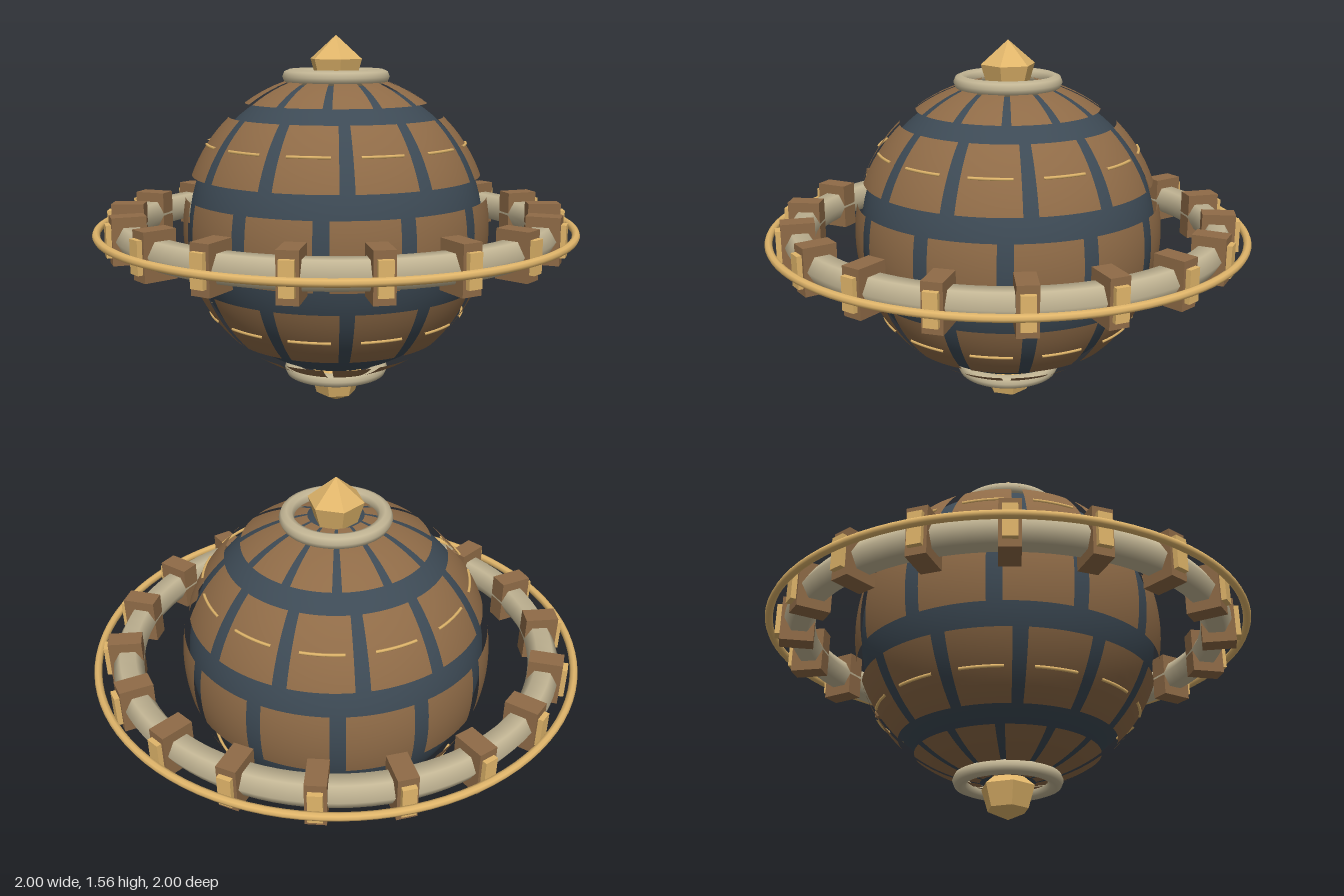
import * as THREE from 'three';

const CENTER_Y = 0.785;
const rad = THREE.MathUtils.degToRad;
const material = (color, options = {}) => new THREE.MeshStandardMaterial({ color, ...options });

export function createModel() {
  const model = new THREE.Group();
  model.name = 'ringedSphere';

  const slate = material(0x3d4a55);
  const wood = material(0x8f6b47);
  const stone = material(0xc2b594);
  const gold = material(0xe0b56a);
  const crystalGold = material(0xe0b56a, { flatShading: true });

  const add = (name, geometry, mat, parent = model) => {
    const mesh = new THREE.Mesh(geometry, mat);
    mesh.name = name;
    parent.add(mesh);
    return mesh;
  };

  // Dark core
  add('core', new THREE.SphereGeometry(0.61, 64, 40), slate).position.y = CENTER_Y;

  // Curved hull panels: five rows of twelve, alternate rows shifted
  const panels = new THREE.Group();
  panels.name = 'hullPanels';
  panels.position.y = CENTER_Y;
  model.add(panels);
  const width = rad(24.4);
  const rows = [
    { low: -12.2, high: 12.2, shift: 0 },
    { low: 20.7, high: 46.2, shift: 9, trim: true },
    { low: -46.2, high: -20.7, shift: 9, trim: true },
    { low: 54, high: 80, shift: 0 },
    { low: -80, high: -54, shift: 0 },
  ];
  for (const { low, high, shift, trim } of rows) {
    const panel = new THREE.SphereGeometry(0.636, 8, 8,
      Math.PI / 2 - width / 2, width, rad(90 - high), rad(high - low));

    // Thin gold line across the middle of the panel
    const latitude = rad((low + high) / 2);
    const arc = rad(18);
    const line = new THREE.TorusGeometry(0.638 * Math.cos(latitude), 0.006, 6, 8, arc);
    line.rotateZ(Math.PI / 2 - arc / 2).rotateX(Math.PI / 2);
    line.translate(0, 0.638 * Math.sin(latitude), 0);

    for (let i = 0; i < 12; i++) {
      const angle = rad(shift + i * 30);
      add('hullPanel', panel, wood, panels).rotation.y = angle;
      if (trim) add('panelTrim', line, gold, panels).rotation.y = angle;
    }
  }

  // Horizontal rings: main ring, outer hoop and the two pole collars
  const addRing = (name, radius, tube, y, sides, mat) => {
    const ring = add(name, new THREE.TorusGeometry(radius, tube, sides, 96), mat);
    ring.rotation.x = Math.PI / 2;
    ring.position.y = y;
  };
  addRing('mainRing', 0.86, 0.0625, CENTER_Y, 6, stone);
  addRing('outerHoop', 0.984, 0.016, CENTER_Y, 8, gold);
  addRing('topCollar', 0.19, 0.03, CENTER_Y + 0.62, 8, stone);
  addRing('bottomCollar', 0.19, 0.03, CENTER_Y - 0.62, 8, stone);

  // Brackets around the main ring, each with a gold clip on its outer face
  const block = new THREE.BoxGeometry(0.08, 0.19, 0.135);
  const clip = new THREE.BoxGeometry(0.055, 0.13, 0.04);
  for (let i = 0; i < 18; i++) {
    const bracket = new THREE.Group();
    bracket.name = 'ringBracket';
    bracket.position.y = CENTER_Y;
    bracket.rotation.y = rad(10 + i * 20);
    model.add(bracket);
    add('bracketBlock', block, wood, bracket).position.z = 0.867;
    add('bracketClip', clip, gold, bracket).position.z = 0.935;
  }

  // Six-sided pole crystals
  const profile = [[0, -0.13], [0.085, -0.09], [0.112, 0], [0, 0.096]]
    .map(([x, y]) => new THREE.Vector2(x, y));
  const crystal = new THREE.LatheGeometry(profile, 6);
  const topCrystal = add('topCrystal', crystal, crystalGold);
  topCrystal.position.y = 1.476;
  topCrystal.rotation.y = rad(30);
  add('bottomCrystal', crystal, crystalGold).position.y = 0.14;

  return model;
}
